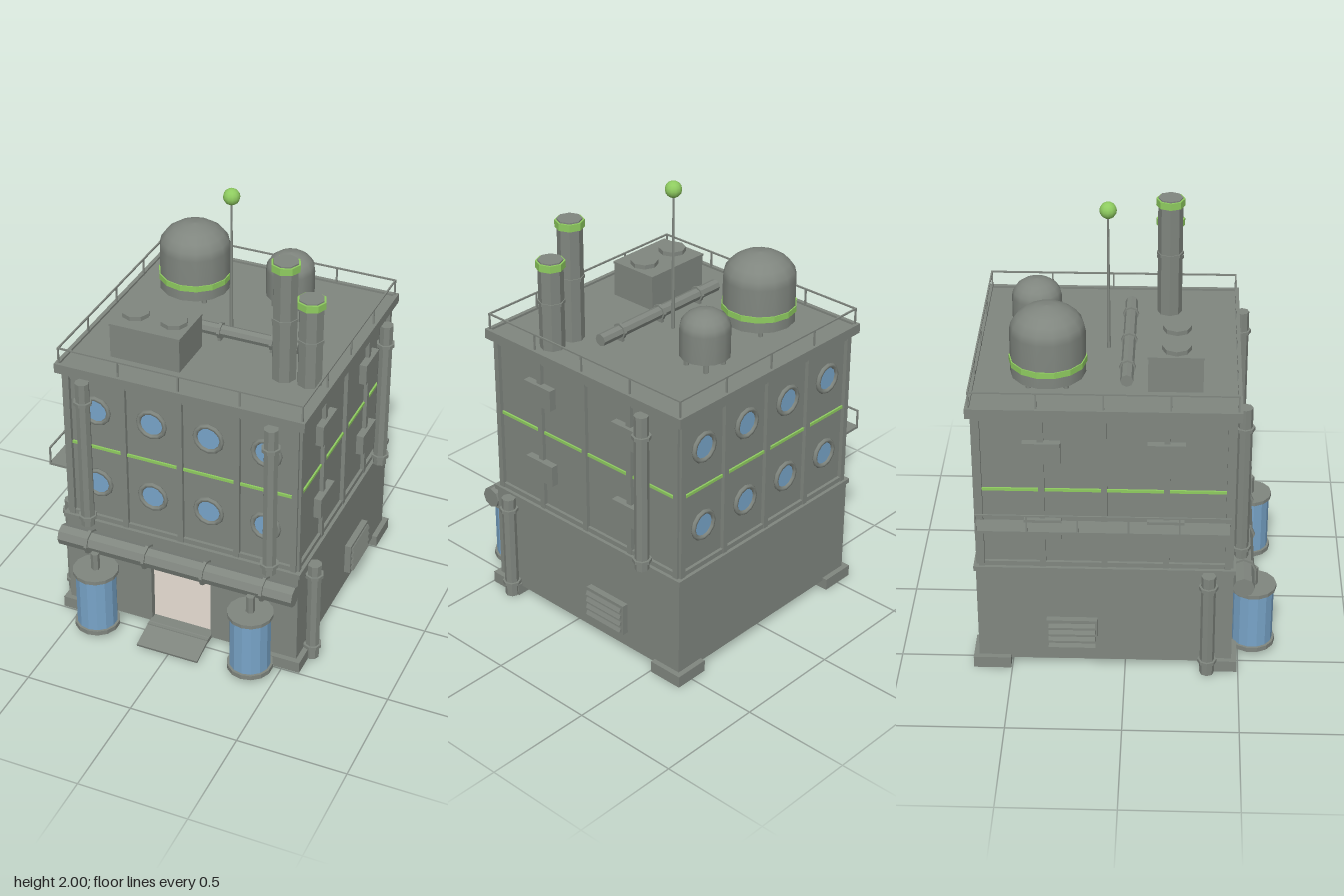
import * as THREE from 'three';

export function createModel() {
  const root = new THREE.Group();
  const mat = (name, color) => {
    const m = new THREE.MeshStandardMaterial({ color });
    m.name = name;
    return m;
  };
  const grey = mat('grey metal', 0x80867f);
  const green = mat('green trim', 0x8fcc60);
  const blue = mat('blue glass', 0x78a4c8);
  const beige = mat('beige interior', 0xcfc7bd);

  const add = (name, geo, m, x, y, z, parent = root) => {
    const mesh = new THREE.Mesh(geo, m);
    mesh.name = name;
    mesh.position.set(x, y, z);
    parent.add(mesh);
    return mesh;
  };
  const box = (name, w, h, d, x, y, z, m = grey, parent = root) =>
    add(name, new THREE.BoxGeometry(w, h, d), m, x, y, z, parent);
  // Flat-sided upright cylinder given by its bottom and top heights
  const cyl = (name, r, y0, y1, x, z, m = grey, sides = 8, rTop = r) => {
    const geo = new THREE.CylinderGeometry(rTop, r, y1 - y0, sides).toNonIndexed();
    geo.computeVertexNormals();
    return add(name, geo, m, x, (y0 + y1) / 2, z);
  };
  // Cylinder lying along x
  const barX = (name, r, len, x, y, z) => {
    const mesh = cyl(name, r, 0, len, x, z);
    mesh.rotation.z = Math.PI / 2;
    mesh.position.y = y;
    return mesh;
  };

  const CZ = -0.088; // middle of the building in z
  const H = 0.558;   // half width of the ground floor
  const W = 0.538;   // half width of the upper wall

  // Ground floor shell with a doorway
  const front = new THREE.Shape();
  front.moveTo(-H, 0.04).lineTo(H, 0.04).lineTo(H, 0.515).lineTo(-H, 0.515);
  const door = new THREE.Path();
  door.moveTo(-0.145, 0.055).lineTo(-0.145, 0.38).lineTo(0.145, 0.38).lineTo(0.145, 0.055);
  front.holes.push(door);
  add('frontWall', new THREE.ExtrudeGeometry(front, { depth: 0.03, bevelEnabled: false }), grey, 0, 0, CZ + H - 0.03);
  box('backWall', 2 * H, 0.475, 0.03, 0, 0.2775, CZ - H + 0.015);
  for (const s of [-1, 1]) box('sideWall', 0.03, 0.475, 2 * H - 0.06, s * (H - 0.015), 0.2775, CZ);
  box('base', 2 * H - 0.06, 0.01, 2 * H - 0.06, 0, 0.045, CZ);

  // Room behind the doorway
  const R = 2 * H - 0.06;
  box('roomFloor', R, 0.005, R, 0, 0.0525, CZ, beige);
  box('roomBack', R, 0.46, 0.008, 0, 0.285, CZ - H + 0.034, beige);
  for (const s of [-1, 1]) box('roomSide', 0.008, 0.46, R, s * (H - 0.034), 0.285, CZ, beige);
  const bandZ = CZ - H + 0.042;
  box('upperPanel', 0.8, 0.1, 0.008, 0, 0.33, bandZ, green);
  box('lowerPanel', 0.8, 0.055, 0.008, 0, 0.15, bandZ, green);
  box('floorPanel', 0.8, 0.03, 0.008, 0, 0.075, bandZ, green);
  box('roomLamp', 0.03, 0.04, 0.03, 0, 0.25, bandZ + 0.02, blue);
  box('roomLampCap', 0.034, 0.012, 0.034, 0, 0.275, bandZ + 0.02);

  // Corner feet
  for (const sx of [-1, 1]) for (const sz of [-1, 1])
    box('foot', 0.165, 0.055, 0.165, sx * 0.5, 0.0275, CZ + sz * 0.5);

  // Entrance ramp
  const ramp = box('ramp', 0.296, 0.012, 0.14, 0, 0.033, 0.56);
  ramp.rotation.x = 0.25;
  box('rampSill', 0.296, 0.02, 0.05, 0, 0.045, 0.49);

  // Upper storey, trims and roof slab
  box('upperWall', 2 * W, 0.76, 2 * W, 0, 0.9, CZ);
  box('lowerTrim', 1.135, 0.022, 1.135, 0, 0.519, CZ);
  box('roofSlab', 1.15, 0.035, 1.15, 0, 1.2925, CZ);
  for (const s of [-1, 1]) {
    box('roofKerb', 1.15, 0.012, 0.018, 0, 1.314, CZ + s * 0.566);
    box('roofKerb', 0.018, 0.012, 1.114, s * 0.566, 1.314, CZ);
  }

  // Four facades, each built facing +z then turned
  const disc = new THREE.CircleGeometry(0.058, 12);
  const ring = new THREE.TorusGeometry(0.062, 0.011, 6, 12);
  for (let side = 0; side < 4; side++) {
    const f = new THREE.Group();
    f.name = ['frontFacade', 'rightFacade', 'backFacade', 'leftFacade'][side];
    f.position.z = CZ;
    f.rotation.y = side * Math.PI / 2;
    root.add(f);
    for (let i = -2; i <= 2; i++)
      box('rib', 0.026, 0.745, 0.018, i * 0.2655, 0.9025, W + 0.009, grey, f);
    box('topRail', 1.06, 0.022, 0.014, 0, 1.263, W + 0.007, grey, f);
    box('bottomRail', 1.06, 0.022, 0.014, 0, 0.541, W + 0.007, grey, f);
    box('greenStripe', 1.05, 0.013, 0.008, 0, 0.915, W + 0.004, green, f);
    for (const y of [1.108, 0.73]) {
      if (side % 2 === 0) for (let i = -1.5; i < 2; i++) {
        add('windowGlass', disc, blue, i * 0.265, y, W + 0.008, f);
        add('windowRing', ring, grey, i * 0.265, y, W + 0.008, f);
      } else for (const s of [-1, 1])
        box('wallBox', 0.16, 0.098, 0.034, s * 0.262, y, W + 0.017, grey, f);
    }
  }

  // Louvred vents on both sides
  for (const s of [-1, 1]) {
    box('vent', 0.03, 0.15, 0.222, s * 0.572, 0.19, -0.232);
    for (let i = 0; i < 4; i++) {
      const slat = box('ventSlat', 0.012, 0.02, 0.205, s * 0.592, 0.138 + i * 0.035, -0.232);
      slat.rotation.z = s * 0.4;
    }
  }

  // Vertical wall pipes with collars
  const wallPipe = (x, z, y0, y1, collars) => {
    cyl('wallPipe', 0.032, y0, y1, x, z);
    for (const y of collars) cyl('pipeCollar', 0.042, y - 0.008, y + 0.008, x, z);
  };
  for (const s of [-1, 1]) {
    wallPipe(s * 0.435, 0.502, 0.525, 1.27, [0.57, 1.17]);
    wallPipe(s * 0.592, 0.362, 0.005, 0.52, [0.07, 0.46]);
  }
  wallPipe(0.59, -0.462, 0.525, 1.27, [0.57, 1.17]);

  // Horizontal manifold over the entrance
  barX('manifold', 0.048, 1.125, 0, 0.44, 0.515);
  for (const x of [-0.42, -0.14, 0.14, 0.42]) barX('manifoldClamp', 0.058, 0.014, x, 0.44, 0.515);

  // Blue tanks beside the entrance
  for (const s of [-1, 1]) {
    const x = s * 0.375, z = 0.563;
    cyl('tankBase', 0.103, 0.03, 0.052, x, z, grey, 14);
    cyl('tankBody', 0.092, 0.052, 0.318, x, z, blue, 14);
    cyl('tankLid', 0.103, 0.318, 0.336, x, z, grey, 14);
    cyl('tankPipe', 0.02, 0.336, 0.42, x, z, grey, 6);
  }

  // Side catwalk with its rail
  box('catwalk', 0.09, 0.012, 1.085, -0.597, 0.76, -0.09);
  box('catwalkRail', 0.007, 0.007, 1.085, -0.638, 0.843, -0.09);
  for (let i = 0; i < 6; i++) box('catwalkPost', 0.007, 0.08, 0.007, -0.638, 0.803, -0.629 + i * 0.2156);

  // Roof railing
  for (const s of [-1, 1]) {
    box('roofRail', 1.125, 0.007, 0.007, 0, 1.392, CZ + s * 0.559);
    box('roofRail', 0.007, 0.007, 1.125, s * 0.559, 1.392, CZ);
    for (let i = 0; i < 5; i++) {
      const t = -0.559 + i * 0.2795;
      box('railPost', 0.007, 0.085, 0.007, t, 1.35, CZ + s * 0.559);
      if (i > 0 && i < 4) box('railPost', 0.007, 0.085, 0.007, s * 0.559, 1.35, CZ + t);
    }
  }

  // Domed roof tanks on short legs
  const domeTank = (x, z, r, y0, yShoulder, yTop) => {
    const pts = [new THREE.Vector2(0, y0), new THREE.Vector2(r, y0), new THREE.Vector2(r, y0), new THREE.Vector2(r, yShoulder)];
    for (let i = 1; i <= 5; i++) {
      const a = i / 5 * Math.PI / 2;
      pts.push(new THREE.Vector2(i === 5 ? 0 : r * Math.cos(a), yShoulder + (yTop - yShoulder) * Math.sin(a)));
    }
    add('domeTank', new THREE.LatheGeometry(pts, 14), grey, x, 0, z);
    for (let i = 0; i < 4; i++) {
      const a = (i + 0.5) * Math.PI / 2;
      cyl('tankLeg', 0.012, 1.305, y0 + 0.005, x + Math.cos(a) * r * 0.7, z + Math.sin(a) * r * 0.7, grey, 6);
    }
  };
  domeTank(-0.283, -0.333, 0.161, 1.347, 1.545, 1.658);
  cyl('tankBand', 0.166, 1.397, 1.424, -0.283, -0.333, green, 14);
  domeTank(0.148, -0.408, 0.11, 1.36, 1.485, 1.567);

  // Roof cooling unit with two fans
  box('coolingUnit', 0.326, 0.165, 0.232, -0.223, 1.3925, 0.208);
  box('coolingLid', 0.332, 0.01, 0.238, -0.223, 1.47, 0.208);
  for (const x of [-0.315, -0.135]) cyl('coolingFan', 0.062, 1.47, 1.495, x, 0.21);

  // Roof pipe
  barX('roofPipe', 0.028, 0.73, -0.01, 1.354, 0.002);
  for (const x of [-0.255, -0.01, 0.235]) {
    barX('roofPipeClamp', 0.036, 0.014, x, 1.354, 0.002);
    box('roofPipeFoot', 0.014, 0.04, 0.04, x, 1.325, 0.002);
  }

  // Chimney stacks with green rims
  for (const [x, top, mid] of [[0.355, 1.868, 1.6], [0.472, 1.72, 1.525]]) {
    cyl('stack', 0.055, 1.305, top, x, 0.172);
    cyl('stackCollar', 0.06, mid - 0.007, mid + 0.007, x, 0.172);
    cyl('stackRim', 0.064, top - 0.038, top - 0.006, x, 0.172, green);
  }

  // Antenna
  cyl('antennaMast', 0.009, 1.305, 1.94, 0, -0.088, grey, 6, 0.004);
  add('antennaBall', new THREE.SphereGeometry(0.037, 12, 8), green, 0, 1.963, -0.088);

  return root;
}
